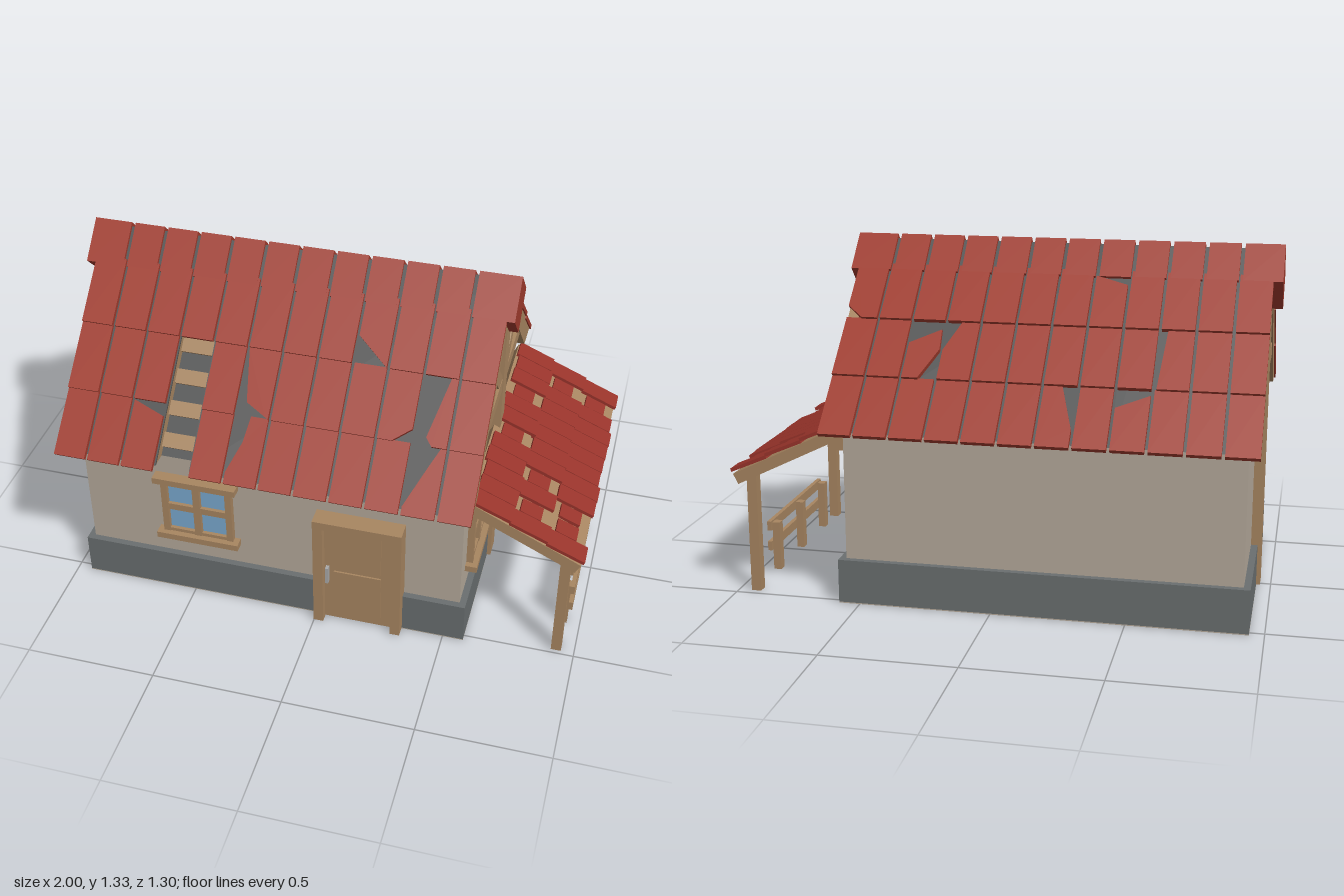
import * as THREE from 'three';

const paint = (name, color) => {
  const m = new THREE.MeshStandardMaterial({ color });
  m.name = name;
  return m;
};

export function createModel() {
  const house = new THREE.Group();
  house.name = 'cottage';
  const plaster = paint('plaster', 0xb5aa9b);
  const stone = paint('stone', 0x6a6f70);
  const wood = paint('wood', 0xa88661);
  const clay = paint('roof tile', 0xa03b2d);
  const clayDark = paint('porch tile', 0x9a342b);
  const felt = paint('roof felt', 0x505151);
  const glass = paint('glass', 0x7aaad0);
  const metal = paint('metal', 0xaaaaaa);

  const add = (parent, name, geometry, material) => {
    const m = new THREE.Mesh(geometry, material);
    m.name = name;
    parent.add(m);
    return m;
  };
  // box given by its limits on each axis
  const box = (parent, name, mat, x0, x1, y0, y1, z0, z1) => {
    const m = add(parent, name, new THREE.BoxGeometry(x1 - x0, y1 - y0, z1 - z0), mat);
    m.position.set((x0 + x1) / 2, (y0 + y1) / 2, (z0 + z1) / 2);
    return m;
  };
  const shapeOf = pts => new THREE.Shape(pts.map(p => new THREE.Vector2(...p)));
  // (z, y) outline extruded along x
  const prism = (name, mat, x0, x1, pts) => {
    const g = new THREE.ExtrudeGeometry(shapeOf(pts), { depth: x1 - x0, bevelEnabled: false });
    g.rotateY(-Math.PI / 2).translate(x1, 0, 0);
    return add(house, name, g, mat);
  };

  // walls and plinth
  const WX0 = -0.92, WX1 = 0.555, MID = -0.1825, EAVE = 0.69;
  box(house, 'floor', plaster, -0.945, 0.58, 0, 0.004, -0.525, 0.525);
  box(house, 'plinth', stone, -0.945, 0.58, 0.004, 0.17, -0.525, 0.525);
  prism('walls', plaster, WX0, WX1, [[-0.5, 0.1], [0.5, 0.1], [0.5, 0.7], [0, 1.2], [-0.5, 0.7]]);

  // roof layers are 45 degree bands, cut level at the eaves
  const chevron = (hi, lo) => [[hi - EAVE, EAVE], [0, hi], [EAVE - hi, EAVE],
    [EAVE - lo, EAVE], [0, lo], [lo - EAVE, EAVE]];
  const half = (hi, lo, cut, s) => [[0, hi], [s * (hi - cut), cut], [s * (lo - cut), cut], [0, lo]];
  const RX0 = -0.96, RX1 = 0.595, HX0 = -0.578, HX1 = -0.448, P = 0.1315;
  prism('roofBoards', wood, RX0, RX1, chevron(1.235, 1.195));
  for (const [name, mat, hi, lo] of [['roofFrame', wood, 1.296, 1.235], ['roofFelt', felt, 1.308, 1.296]]) {
    prism(name, mat, RX0 + 0.04, HX0, chevron(hi, lo));
    prism(name, mat, HX1, RX1 - 0.04, chevron(hi, lo));
    prism(name, mat, HX0, HX1, half(hi, lo, EAVE, -1));
    prism(name, mat, HX0, HX1, half(hi, lo, 1.04, 1));
  }
  prism('holeFelt', felt, HX0, HX1, half(1.245, 1.235, EAVE, 1));
  // bare battens in the hole
  for (let i = 0; i < 4; i++) {
    const y = 0.735 + i * 0.085;
    const b = add(house, 'batten', new THREE.BoxGeometry(HX1 - HX0, 0.055, 0.025), wood);
    b.position.set((HX0 + HX1) / 2, y, 1.25 - y);
    b.rotation.x = -Math.PI / 4;
  }

  // broken tiles, keyed by row and column; outlines run across and up the slope
  const brokenFront = {
    '0,3': null, '1,3': null,
    '0,2': [[0, 0], [1, 0], [1, 0.8], [0, 0.97]],
    '0,5': [[0, 0], [1, 0], [1, 1], [0.45, 1], [0.35, 0.62], [0, 0.17]],
    '1,5': [[0, 0.95], [0.25, 0.2], [0.9, 0.03], [1, 0], [1, 1], [0, 1]],
    '2,8': [[0, 0.4], [0.9, 0.04], [1, 0], [1, 1], [0, 1]],
    '1,9': [[0, 0], [0.45, 0], [1, 0.2], [1, 1], [0, 1]],
    '1,10': [[0.8, 1], [0.35, 0.12], [0.55, 0], [1, 0], [1, 1]],
    '0,10': [[0, 0], [1, 0], [1, 1], [0.85, 1], [0.55, 0.7], [0, 0.12]],
  };
  const brokenBack = {
    '0,8': [[0, 0], [1, 0], [1, 0.9], [0, 0.68]],
    '1,9': [[0.05, 0], [1, 0], [1, 1], [0.2, 1]],
    '0,6': [[0, 0], [1, 0], [1, 0.3], [0.55, 1], [0, 1]],
    '1,3': [[0, 0], [1, 0], [1, 1], [0.45, 1], [0, 0.5]],
    '1,2': [[0, 0], [0.5, 0], [1, 0.5], [0.95, 0.85], [0, 0.6]],
    '2,7': [[0, 0], [1, 0], [1, 0.75], [0, 0.9]],
    '2,0': [[0.5, 0], [1, 0], [1, 1], [0, 1], [0, 0.2]],
  };
  const whole = [[0, 0], [1, 0], [1, 1], [0, 1]];
  for (const [s, broken] of [[1, brokenFront], [-1, brokenBack]]) {
    const slope = new THREE.Group();
    slope.name = s > 0 ? 'frontTiles' : 'backTiles';
    slope.position.set(MID, EAVE, s * 0.65);
    slope.rotation.set(-Math.PI / 4, s > 0 ? 0 : Math.PI, 0, 'YXZ');
    house.add(slope);
    for (let r = 0; r < 3; r++) for (let c = 0; c < 12; c++) {
      const key = `${r},${c}`;
      const outline = key in broken ? broken[key] : whole;
      if (!outline) continue;
      const pts = outline.map(([u, v]) => [u * (P - 0.012), v * 0.258]);
      const g = new THREE.ExtrudeGeometry(shapeOf(pts), { depth: 0.018, bevelEnabled: false });
      const t = add(slope, 'tile', g, clay);
      t.position.set((c - 6) * P + 0.006, r * 0.254, -0.018);
      t.rotation.x = -0.045;
    }
  }
  // ridge tiles
  for (let i = 0; i < 12; i++) {
    const x0 = i ? -0.84 + (i - 1) * P : -1, x1 = i < 11 ? -0.855 + i * P : 0.63;
    const t = add(house, 'ridgeTile', new THREE.BoxGeometry(x1 - x0, 0.17, 0.17), clay);
    t.position.set((x0 + x1) / 2, 1.205, 0);
    t.rotation.x = Math.PI / 4;
  }

  // gable timbers at both ends
  for (const [x0, x1] of [[RX0, WX0], [WX1, RX1]]) {
    prism('gableRafters', wood, x0, x1, chevron(1.322, 1.2));
    box(house, 'gablePost', wood, x0, x1, 0.01, 1.21, -0.04, 0.04);
    box(house, 'collarBeam', wood, x0 + 0.004, x1 - 0.004, 0.84, 0.895, -0.36, 0.36);
    for (const s of [-1, 1]) {
      const b = add(house, 'brace', new THREE.BoxGeometry(x1 - x0 - 0.012, 0.055, 0.25), wood);
      b.position.set((x0 + x1) / 2, 0.95, s * 0.12);
      b.rotation.x = -s * Math.PI / 4;
    }
  }

  // windows
  const addWindow = (x, z, turn) => {
    const w = new THREE.Group();
    w.name = 'window';
    w.position.set(x, 0, z);
    w.rotation.y = turn;
    house.add(w);
    box(w, 'pane', glass, -0.13, 0.13, 0.29, 0.54, 0, 0.008);
    for (const [a, b] of [[-0.14, -0.115], [-0.014, 0.014], [0.115, 0.14]])
      box(w, 'upright', wood, a, b, 0.28, 0.54, 0, 0.025);
    for (const [a, b] of [[0.29, 0.305], [0.4, 0.428], [0.525, 0.54]])
      box(w, 'crossbar', wood, -0.135, 0.135, a, b, 0, 0.022);
    box(w, 'sill', wood, -0.163, 0.163, 0.265, 0.291, 0, 0.045);
    box(w, 'lintel', wood, -0.163, 0.163, 0.535, 0.561, 0, 0.045);
  };
  addWindow(-0.47, 0.5, 0);
  addWindow(WX1, 0.2625, Math.PI / 2);

  // door
  for (const x of [0, 0.302]) box(house, 'doorPost', wood, x, x + 0.038, 0.005, 0.48, 0.49, 0.57);
  box(house, 'doorLintel', wood, 0, 0.34, 0.478, 0.512, 0.49, 0.573);
  box(house, 'door', wood, 0.038, 0.302, 0.01, 0.478, 0.49, 0.54);
  box(house, 'doorPanel', wood, 0.075, 0.258, 0.275, 0.46, 0.54, 0.547);
  box(house, 'doorPanel', wood, 0.075, 0.258, 0.035, 0.255, 0.54, 0.547);
  box(house, 'doorHandle', metal, 0.045, 0.057, 0.2, 0.275, 0.54, 0.56);

  // porch roof: local x runs down the slope, y is its normal
  const porch = new THREE.Group();
  porch.name = 'porchRoof';
  porch.position.set(0.995, 0.485, 0);
  porch.rotation.z = -0.454;
  house.add(porch);
  box(porch, 'porchBoards', wood, -0.465, -0.004, -0.055, -0.012, -0.513, 0.513);
  const short = ['0,1', '0,2', '0,10', '1,1', '1,3', '1,10', '2,5', '2,8'];
  const Q = 1.03 / 12;
  for (let r = 0; r < 3; r++) for (let c = 0; c < 12; c++) {
    const small = short.includes(`${r},${c}`);
    const jitter = ((c * 7 + r * 5) % 4) * 0.003;
    const t = add(porch, 'porchTile',
      new THREE.BoxGeometry(small ? 0.085 : 0.153, 0.013, small ? 0.07 : Q - 0.003), clayDark);
    t.position.set(-0.076 - r * 0.15 - (small ? 0.012 : jitter), small ? -0.006 : 0, 0.515 - (c + 0.5) * Q);
    t.rotation.z = 0.05;
  }
  box(house, 'porchLedger', wood, WX1, 0.6, 0.59, 0.635, -0.505, 0.505);

  // porch posts
  for (const z of [-0.452, 0.464]) box(house, 'porchPost', wood, 0.912, 0.95, 0, 0.46, z - 0.02, z + 0.02);

  // fence
  for (const z of [0.315, 0.047, -0.218]) box(house, 'fencePost', wood, 0.92, 0.95, 0, 0.195, z - 0.017, z + 0.017);
  for (const y of [0.082, 0.165]) box(house, 'fenceRail', wood, 0.95, 0.966, y, y + 0.037, -0.25, 0.34);

  return house;
}
